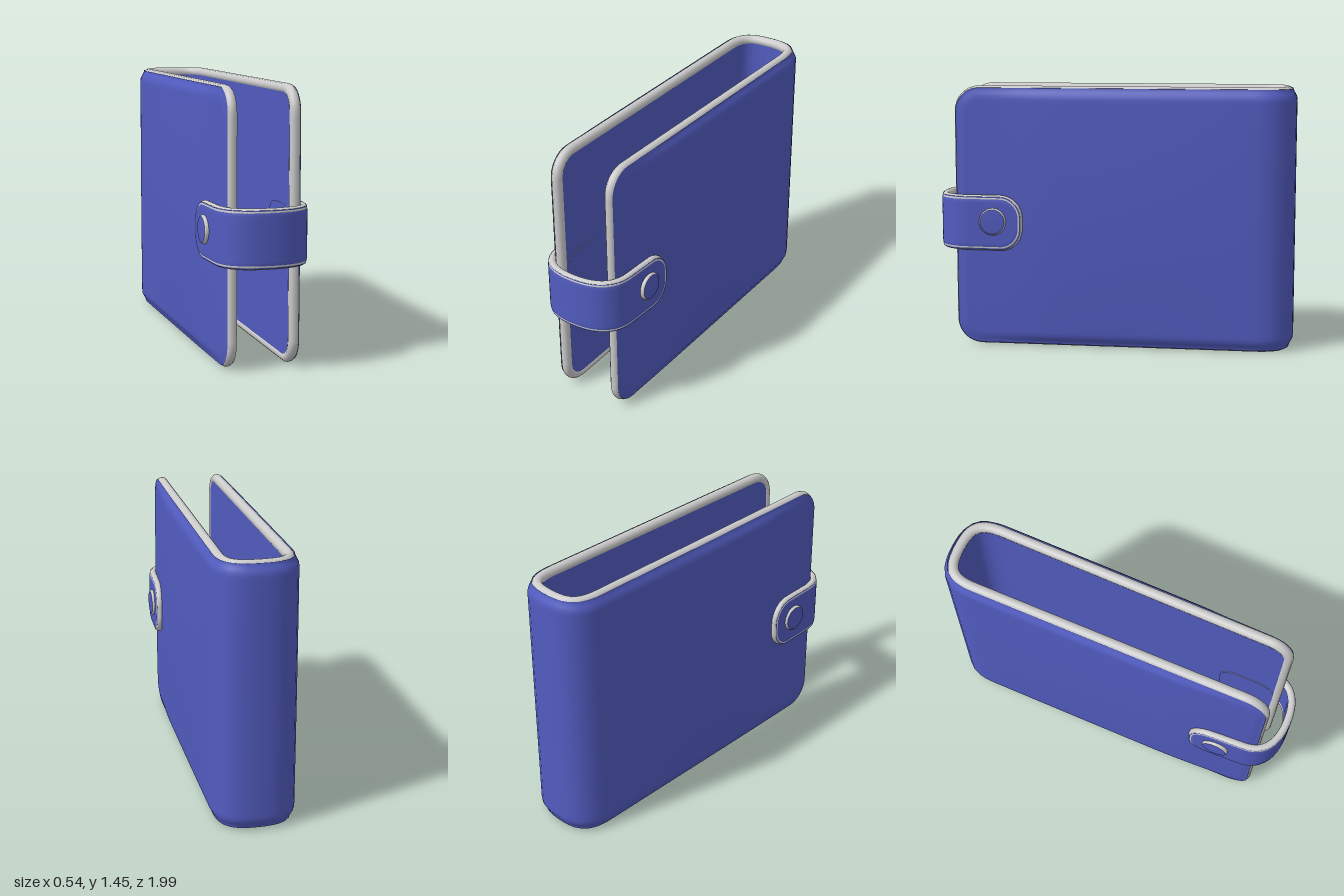
import * as THREE from 'three';

const blue = new THREE.MeshStandardMaterial({ color: 0x525cc0, side: THREE.DoubleSide });
const grey = new THREE.MeshStandardMaterial({ color: 0xcccccc });

function addMesh(parent, name, geometry, material) {
  const mesh = new THREE.Mesh(geometry, material);
  mesh.name = name;
  parent.add(mesh);
  return mesh;
}

// Rounded rectangle in (distance along path, height)
function roundedRect(x0, x1, h, r) {
  const s = new THREE.Shape();
  s.moveTo(x0 + r, -h);
  s.lineTo(x1 - r, -h);
  s.absarc(x1 - r, -h + r, r, -Math.PI / 2, 0);
  s.lineTo(x1, h - r);
  s.absarc(x1 - r, h - r, r, 0, Math.PI / 2);
  s.lineTo(x0 + r, h);
  s.absarc(x0 + r, h - r, r, Math.PI / 2, Math.PI);
  s.lineTo(x0, -h + r);
  s.absarc(x0 + r, -h + r, r, Math.PI, Math.PI * 1.5);
  return s;
}

// A padded leather sheet with rounded corners, bent along a plan path (x, z)
function bentSheet(name, { path, yMid, half, corner, rim, columns, puff }) {
  const group = new THREE.Group();
  group.name = name;
  path.arcLengthDivisions = 400;
  const length = path.getLength();

  // Maps (distance, height, outward offset) to space, running straight past the ends
  function place(s, y, off) {
    const u = THREE.MathUtils.clamp(s / length, 0, 1);
    const p = path.getPointAt(u), t = path.getTangentAt(u);
    const extra = s - u * length;
    return new THREE.Vector3(p.x + t.x * extra - t.y * off, yMid + y, p.y + t.y * extra + t.x * off);
  }

  function skin(grow, offset, flip) {
    const rows = 44, r = corner + grow, h = half + grow, total = length + 2 * grow;
    const pos = [], index = [];
    for (let i = 0; i <= columns; i++) {
      const v = i / columns;
      const d = total * (v - 0.92 * Math.sin(2 * Math.PI * v) / (2 * Math.PI));
      const end = Math.min(d, total - d), c = Math.max(0, r - end);
      const top = h - r + Math.sqrt(Math.max(0, r * r - c * c));
      for (let j = 0; j <= rows; j++) {
        const y = top * Math.sin(Math.PI * (j / rows - 0.5));
        // Distance in from the rounded outline
        const a = r - end, b = Math.abs(y) - h + r;
        const inset = r - Math.hypot(Math.max(a, 0), Math.max(b, 0)) - Math.min(Math.max(a, b), 0);
        const z = place(d - grow, y, 0).z;
        pos.push(...place(d - grow, y, offset(Math.max(0, inset), y, z)).toArray());
        if (i < columns && j < rows) {
          const k = i * (rows + 1) + j, n = k + rows + 1;
          if (flip) index.push(k, k + 1, n, n, k + 1, n + 1);
          else index.push(k, n, k + 1, n, n + 1, k + 1);
        }
      }
    }
    const g = new THREE.BufferGeometry();
    g.setAttribute('position', new THREE.Float32BufferAttribute(pos, 3));
    g.setIndex(index);
    g.computeVertexNormals();
    return g;
  }

  addMesh(group, name + 'Outer', skin(rim * 0.6, (inset, y, z) => rim * 0.85 + puff(inset, y / half, z), false), blue);
  addMesh(group, name + 'Inner', skin(0, () => -rim * 0.8, true), blue);

  // Rounded edge binding all the way round
  const outline = roundedRect(0, length, half, corner).getSpacedPoints(320).slice(0, -1);
  const curve = new THREE.CatmullRomCurve3(outline.map(p => place(p.x, p.y, 0)), true);
  curve.arcLengthDivisions = 1000;
  addMesh(group, name + 'Edge', new THREE.TubeGeometry(curve, 480, rim, 12, true), grey);
  return group;
}

export function createModel() {
  const model = new THREE.Group();
  model.name = 'wallet';
  const smooth = THREE.MathUtils.smoothstep;

  // Folded cover: two side panels joined by a rounded spine
  const coverPath = new THREE.Path();
  coverPath.moveTo(0.166, 0.853);
  coverPath.lineTo(0.174, -0.78);
  coverPath.bezierCurveTo(0.174, -0.92, 0.12, -0.947, 0, -0.947);
  coverPath.bezierCurveTo(-0.12, -0.947, -0.174, -0.92, -0.174, -0.78);
  coverPath.lineTo(-0.166, 0.853);
  model.add(bentSheet('cover', {
    path: coverPath, yMid: 0.73, half: 0.697, corner: 0.115, rim: 0.028, columns: 220,
    puff: (inset, y, z) => (0.005 + 0.022 * smooth(inset, 0, 0.055)) * (1 - 0.6 * smooth(z, 0.3, 0.85))
      + 0.019 * Math.max(0, 1 - y * y) * Math.max(0, 1 - z * z / 0.8),
  }));

  // Closing strap across the opening
  const strapPath = new THREE.Path();
  strapPath.moveTo(-0.235, 0.512);
  strapPath.lineTo(-0.222, 0.8);
  strapPath.bezierCurveTo(-0.216, 0.92, -0.13, 0.967, 0, 0.967);
  strapPath.bezierCurveTo(0.13, 0.967, 0.216, 0.92, 0.222, 0.8);
  strapPath.lineTo(0.235, 0.512);
  model.add(bentSheet('strap', {
    path: strapPath, yMid: 0.7, half: 0.134, corner: 0.105, rim: 0.021, columns: 120,
    puff: inset => 0.001 + 0.004 * smooth(inset, 0, 0.03),
  }));

  // Snap buttons, and the thin backing tabs inside the panels
  for (const side of [-1, 1]) {
    const snap = new THREE.Group();
    snap.name = side > 0 ? 'leftSnap' : 'rightSnap';
    snap.position.set(side * 0.235, 0.71, 0.655);
    snap.rotation.z = -side * Math.PI / 2;
    const profile = (...pts) => new THREE.LatheGeometry(pts.map(p => new THREE.Vector2(...p)), 40);
    addMesh(snap, 'snapRim', profile([0.075, 0], [0.075, 0.024], [0.073, 0.029], [0.068, 0.033]), grey);
    addMesh(snap, 'snapCap', profile([0.068, 0.033], [0.055, 0.035], [0, 0.036]), blue);
    model.add(snap);

    const tab = new THREE.ExtrudeGeometry(roundedRect(-0.16, 0.16, 0.14, 0.1),
      { depth: 0.012, bevelEnabled: false, curveSegments: 12 });
    const backing = addMesh(model, side > 0 ? 'leftBackingTab' : 'rightBackingTab', tab, [blue, grey]);
    backing.rotation.y = -side * Math.PI / 2;
    backing.position.set(side * 0.154, 0.7, 0.68);
  }
  return model;
}
